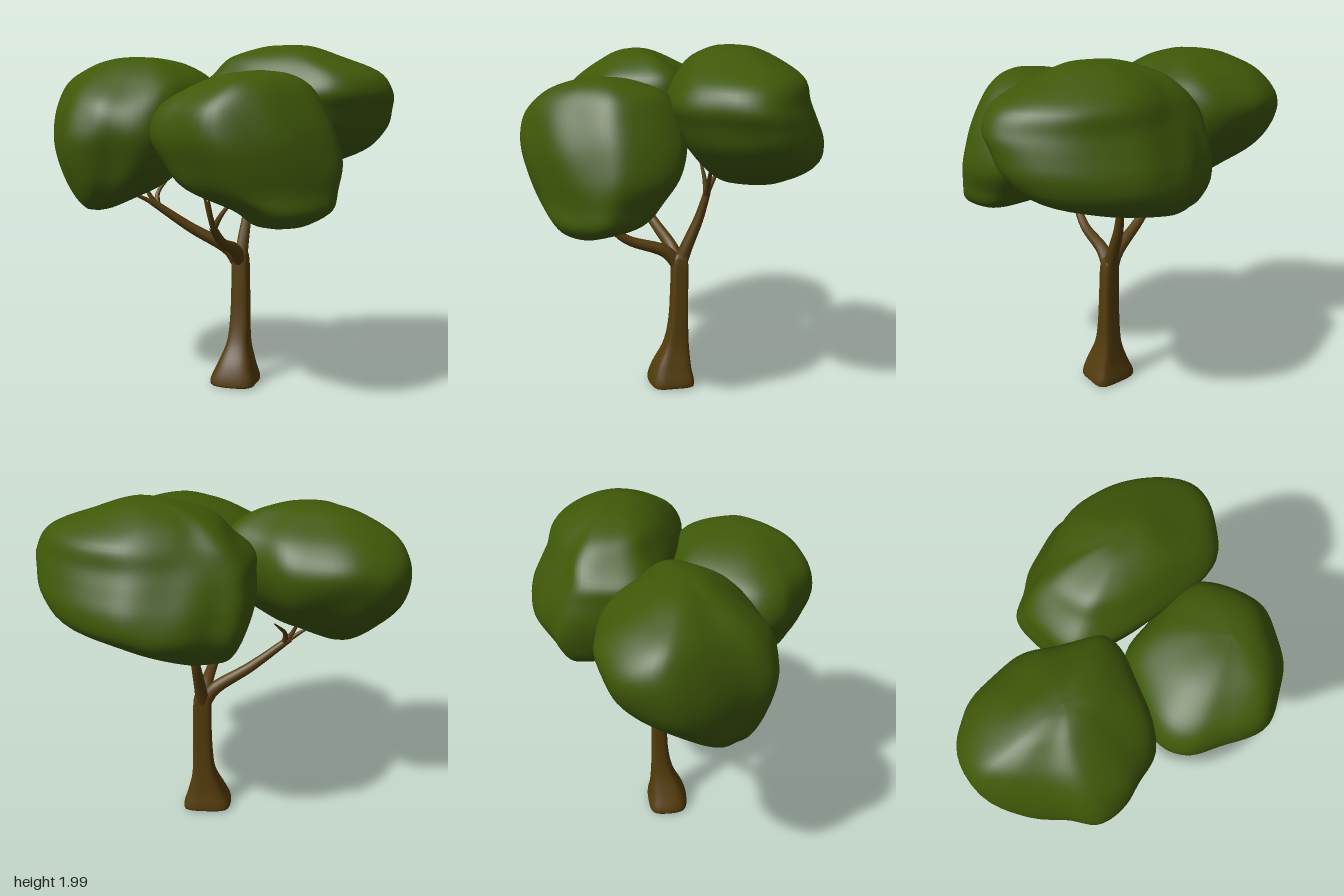
import * as THREE from 'three';

const leafMat = new THREE.MeshStandardMaterial({ color: 0x3f5808 });
const barkMat = new THREE.MeshStandardMaterial({ color: 0x543c0c });

// Soft lumps that depend only on position, so seams and poles stay closed
function lump(x, y, z) {
  return Math.sin(9 * x + 4 * y + 1) * Math.sin(8 * z - 5 * y + 2) * 0.6
    + Math.sin(13 * y + 5 * x - 3 * z) * Math.sin(11 * x - 7 * z) * 0.4;
}

// Skin over stacked rings. outline: [x, z] plan shape, clockwise seen from above.
// rows: [y, xMin, xMax, zMin, zMax] from bottom to top; the plan is fitted into each row.
function loft(outline, rows, sides, steps, bump) {
  const plan = new THREE.CatmullRomCurve3(
    outline.map(([x, z]) => new THREE.Vector3(x, 0, z)), true).getPoints(sides).slice(0, sides);
  const box = new THREE.Box3().setFromPoints(plan);
  const size = box.getSize(new THREE.Vector3());
  const spline = (pts) => new THREE.CatmullRomCurve3(pts, false, 'catmullrom', 0.5);
  const low = spline(rows.map(([y, x0, , z0]) => new THREE.Vector3(x0, y, z0)));
  const high = spline(rows.map(([y, , x1, , z1]) => new THREE.Vector3(x1, y, z1)));
  const pos = [], index = [];
  for (let j = 0; j <= steps; j++) {
    const a = low.getPoint(j / steps), b = high.getPoint(j / steps);
    const cx = (a.x + b.x) / 2, cz = (a.z + b.z) / 2;
    for (let i = 0; i < sides; i++) {
      const x = THREE.MathUtils.lerp(a.x, b.x, (plan[i].x - box.min.x) / size.x);
      const z = THREE.MathUtils.lerp(a.z, b.z, (plan[i].z - box.min.z) / size.z);
      const k = 1 + bump * lump(x, a.y, z);
      pos.push(cx + (x - cx) * k, a.y, cz + (z - cz) * k);
      if (j < steps) {
        const n = (i + 1) % sides, r = j * sides, u = r + sides;
        index.push(r + i, u + i, r + n, r + n, u + i, u + n);
      }
    }
  }
  const geo = new THREE.BufferGeometry();
  geo.setAttribute('position', new THREE.Float32BufferAttribute(pos, 3));
  geo.setIndex(index);
  geo.computeVertexNormals();
  return geo;
}

// Tube that narrows from radius r0 to r1
function taperedTube(points, r0, r1, sides = 10) {
  const curve = new THREE.CatmullRomCurve3(points.map((p) => new THREE.Vector3(...p)));
  const n = 16, geo = new THREE.TubeGeometry(curve, n, 1, sides, false);
  const p = geo.attributes.position, v = new THREE.Vector3();
  for (let i = 0; i <= n; i++) {
    const c = curve.getPointAt(i / n), r = THREE.MathUtils.lerp(r0, r1, i / n);
    for (let j = 0; j <= sides; j++) {
      const k = i * (sides + 1) + j;
      v.fromBufferAttribute(p, k).sub(c).multiplyScalar(r).add(c);
      p.setXYZ(k, v.x, v.y, v.z);
    }
  }
  return geo;
}

const crowns = {
  rightCrown: {
    outline: [[-1, -0.08], [-0.9, -0.29], [-0.75, -0.39], [-0.55, -0.41], [-0.36, -0.39], [-0.2, -0.26],
      [0, -0.12], [0.02, 0], [-0.06, 0.2], [-0.2, 0.43], [-0.4, 0.49], [-0.53, 0.52], [-0.7, 0.47],
      [-0.8, 0.3], [-0.95, 0.1]],
    rows: [[1.05, -0.6, -0.6, 0.25, 0.25], [1.08, -0.71, -0.49, 0.14, 0.36], [1.2, -0.84, -0.25, -0.06, 0.45],
      [1.35, -0.95, -0.09, -0.27, 0.5], [1.5, -0.99, 0, -0.38, 0.52], [1.65, -0.98, 0.02, -0.41, 0.47],
      [1.78, -0.9, 0, -0.31, 0.34], [1.87, -0.74, -0.14, -0.15, 0.21], [1.91, -0.58, -0.3, -0.05, 0.12],
      [1.92, -0.45, -0.45, 0.04, 0.04]],
  },
  frontCrown: {
    outline: [[-0.2, 0.45], [-0.1, 0.22], [0.05, 0.04], [0.3, 0], [0.55, 0], [0.7, 0.07], [0.8, 0.3],
      [0.8, 0.43], [0.66, 0.61], [0.5, 0.73], [0.25, 0.81], [0, 0.7], [-0.15, 0.6]],
    rows: [[1.03, 0.5, 0.5, 0.52, 0.52], [1.05, 0.38, 0.64, 0.42, 0.62], [1.12, 0.26, 0.76, 0.24, 0.69],
      [1.22, 0, 0.79, 0.12, 0.74], [1.35, -0.12, 0.81, 0.02, 0.78], [1.5, -0.2, 0.77, -0.03, 0.81],
      [1.65, -0.15, 0.69, 0, 0.78], [1.76, 0.02, 0.62, 0.08, 0.68], [1.82, 0.2, 0.52, 0.24, 0.55],
      [1.84, 0.38, 0.38, 0.42, 0.42]],
  },
  backCrown: {
    outline: [[-0.18, -0.4], [-0.14, -0.6], [0, -0.67], [0.15, -0.75], [0.4, -0.82], [0.6, -0.77], [0.8, -0.65],
      [0.95, -0.5], [1, -0.35], [0.92, -0.12], [0.72, 0.06], [0.5, 0.07], [0.2, 0], [0, -0.08], [-0.16, -0.2]],
    rows: [[1.19, 0.08, 0.08, -0.48, -0.48], [1.205, -0.05, 0.26, -0.6, -0.37], [1.27, -0.12, 0.55, -0.7, -0.24],
      [1.38, -0.16, 0.84, -0.8, -0.1], [1.5, -0.18, 0.95, -0.8, 0], [1.62, -0.18, 0.98, -0.75, 0.05],
      [1.72, -0.17, 0.99, -0.7, 0.08], [1.83, -0.06, 0.92, -0.66, 0.03], [1.92, 0.05, 0.7, -0.55, -0.06],
      [1.98, 0.24, 0.53, -0.41, -0.18], [1.99, 0.4, 0.4, -0.29, -0.29]],
  },
};

// Each limb leaves the trunk fork and splits into thin twigs at its end
const limbs = {
  rightBranch: {
    path: [[0.14, 0.72, -0.08], [0.09, 0.8, -0.06], [-0.12, 0.93, 0.01], [-0.34, 1.09, 0.09]],
    tips: [[-0.48, 1.16, 0.17], [-0.26, 1.24, -0.06], [-0.4, 1.25, 0.08]],
  },
  frontBranch: {
    path: [[0.15, 0.72, -0.08], [0.14, 0.81, 0], [0.12, 0.89, 0.22], [0.1, 1.0, 0.35]],
    tips: [[0.05, 1.22, 0.38], [0.25, 1.2, 0.3], [0.1, 1.2, 0.44]],
  },
  backBranch: {
    path: [[0.15, 0.72, -0.08], [0.155, 0.82, -0.115], [0.165, 1.0, -0.19], [0.18, 1.16, -0.235]],
    tips: [[0.45, 1.42, -0.18], [0.1, 1.38, -0.2], [0.2, 1.38, -0.34]],
  },
};

export function createModel() {
  const tree = new THREE.Group();
  tree.name = 'tree';
  const add = (parent, name, geo, mat) => {
    const mesh = new THREE.Mesh(geo, mat);
    mesh.name = name;
    parent.add(mesh);
  };

  // Trunk with a flared, roughly square foot
  const foot = [[-1, 0], [-0.88, -0.75], [0, -1], [0.92, -0.93], [1, 0], [0.85, 0.8], [0, 1], [-0.78, 0.8]];
  add(tree, 'trunk', loft(foot, [
    [0, 0.13, 0.13, -0.03, -0.03], [0, 0.01, 0.25, -0.14, 0.08], [0.03, -0.01, 0.27, -0.155, 0.095],
    [0.12, 0.03, 0.245, -0.14, 0.07], [0.25, 0.08, 0.215, -0.13, 0.01], [0.4, 0.095, 0.21, -0.125, -0.02],
    [0.6, 0.1, 0.205, -0.125, -0.03], [0.74, 0.1, 0.2, -0.125, -0.035], [0.79, 0.115, 0.185, -0.115, -0.05],
    [0.81, 0.145, 0.145, -0.08, -0.08]], 32, 40, 0), barkMat);

  for (const [name, { path, tips }] of Object.entries(limbs)) {
    const limb = new THREE.Group();
    limb.name = name;
    tree.add(limb);
    add(limb, 'limb', taperedTube(path, 0.042, 0.02), barkMat);
    const end = path[3], before = path[2];
    const start = end.map((c, i) => c + (before[i] - c) * 0.15);
    for (const tip of tips) {
      const mid = end.map((c, i) => c + (tip[i] - c) * 0.3);
      add(limb, 'twig', taperedTube([start, mid, tip], 0.018, 0.004, 8), barkMat);
    }
  }

  // Rounded leaf masses
  for (const [name, { outline, rows }] of Object.entries(crowns)) {
    add(tree, name, loft(outline, rows, 72, 48, 0.035), leafMat);
  }
  return tree;
}
